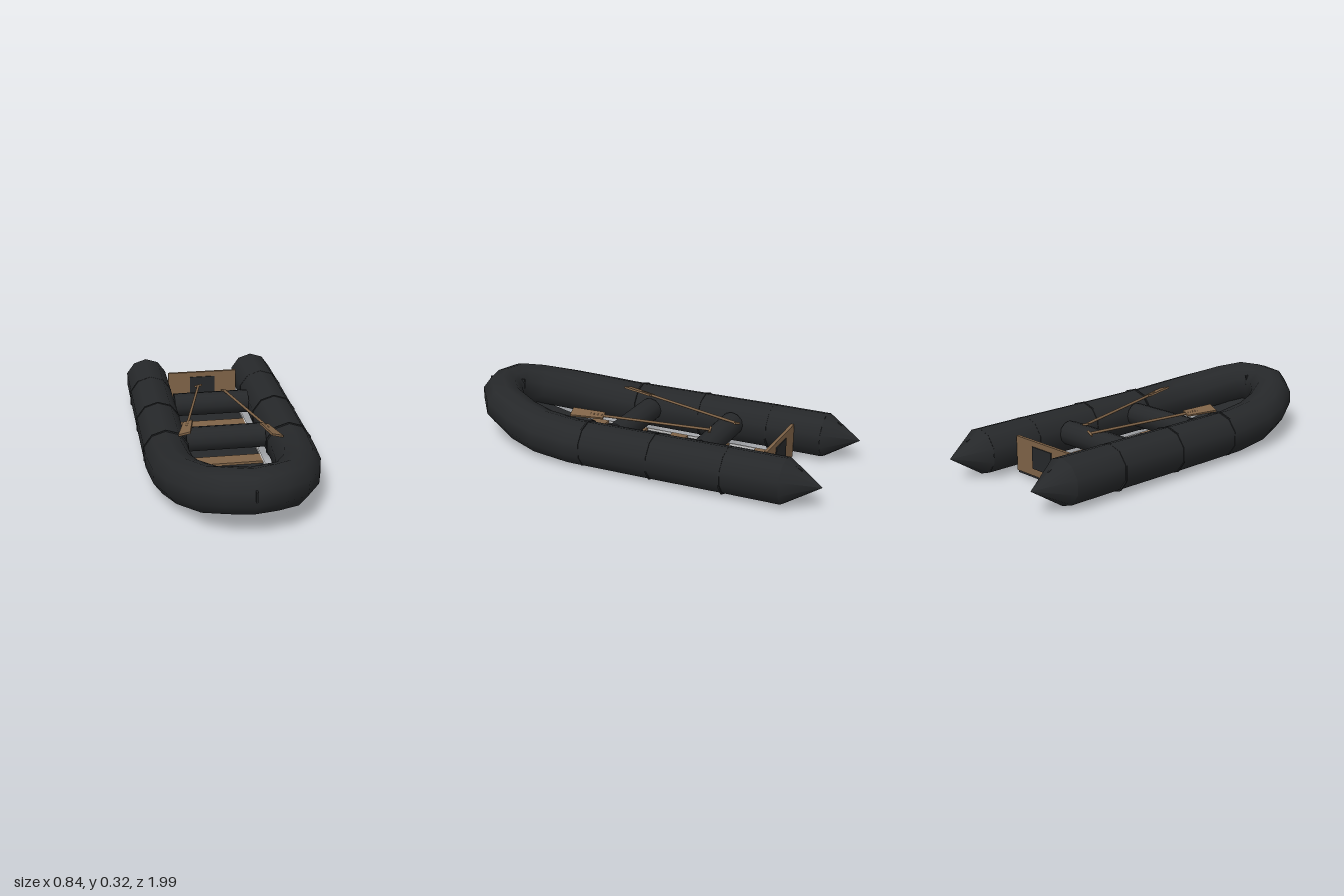
import * as THREE from 'three';

const rubber = new THREE.MeshStandardMaterial({ color: 0x26282a, side: THREE.DoubleSide });
const wood = new THREE.MeshStandardMaterial({ color: 0x7f6347 });
const metal = new THREE.MeshStandardMaterial({ color: 0xcccccc });
const SIDES = 10;

function add(parent, name, geometry, material, x = 0, y = 0, z = 0) {
  const mesh = new THREE.Mesh(geometry, material);
  mesh.name = name;
  mesh.position.set(x, y, z);
  parent.add(mesh);
  return mesh;
}

// Skin rows of points into a smooth surface
function loft(rows) {
  const n = rows[0].length, pos = [], idx = [];
  rows.forEach(row => row.forEach(p => pos.push(p.x, p.y, p.z)));
  for (let i = 0; i < rows.length - 1; i++) {
    for (let j = 0; j < n - 1; j++) {
      const a = i * n + j, b = a + n;
      idx.push(a, b, a + 1, b, b + 1, a + 1);
    }
  }
  const g = new THREE.BufferGeometry();
  g.setAttribute('position', new THREE.Float32BufferAttribute(pos, 3));
  g.setIndex(idx);
  g.computeVertexNormals();
  return g;
}

// U-shaped tube: half path as [x, y, z, radius], mirrored around the bow
function hullGeometry() {
  const half = [
    [0.305, 0.12, -0.82, 0.115], [0.307, 0.12, -0.53, 0.115], [0.308, 0.117, -0.15, 0.115],
    [0.31, 0.115, 0.3, 0.114], [0.295, 0.127, 0.49, 0.114], [0.257, 0.148, 0.63, 0.112],
    [0.18, 0.181, 0.785, 0.11], [0.09, 0.207, 0.86, 0.108], [0, 0.208, 0.882, 0.106]];
  const path = [...half, ...half.slice(0, -1).reverse().map(([x, y, z, r]) => [-x, y, z, r])];
  const pts = path.map(p => new THREE.Vector3(p[0], p[1], p[2]));
  const rows = pts.map((p, i) => {
    const tangent = pts[Math.min(i + 1, pts.length - 1)].clone().sub(pts[Math.max(i - 1, 0)]).normalize();
    const side = new THREE.Vector3(0, 1, 0).cross(tangent).normalize();
    const up = tangent.clone().cross(side);
    return Array.from({ length: SIDES + 1 }, (_, j) => {
      const a = -j / SIDES * Math.PI * 2, r = path[i][3];
      return p.clone().addScaledVector(up, r * Math.cos(a)).addScaledVector(side, r * Math.sin(a));
    });
  });
  const g = loft(rows);
  // Merge the normals along the lengthwise seam
  const nor = g.attributes.normal, n = SIDES + 1;
  for (let i = 0; i < rows.length; i++) {
    const a = new THREE.Vector3().fromBufferAttribute(nor, i * n);
    a.add(new THREE.Vector3().fromBufferAttribute(nor, i * n + SIDES)).normalize();
    nor.setXYZ(i * n, a.x, a.y, a.z);
    nor.setXYZ(i * n + SIDES, a.x, a.y, a.z);
  }
  return g;
}

// Oar built along +z from grip to blade, then aimed between two points
function addOar(parent, name, from, to, roll) {
  const oar = new THREE.Group();
  oar.name = name;
  const length = from.distanceTo(to);
  add(oar, 'shaft', new THREE.CylinderGeometry(0.007, 0.007, length - 0.1, 8).rotateX(Math.PI / 2),
    wood, 0, 0, (length - 0.1) / 2);
  add(oar, 'grip', new THREE.CylinderGeometry(0.006, 0.006, 0.04, 8).rotateZ(Math.PI / 2), wood);
  const blade = new THREE.Shape();
  blade.moveTo(-0.024, -0.17);
  blade.lineTo(0.024, -0.17);
  blade.lineTo(0.031, 0);
  blade.lineTo(-0.031, 0);
  const bladeGeo = new THREE.ExtrudeGeometry(blade, { depth: 0.01, bevelEnabled: false });
  bladeGeo.translate(0, 0, -0.005).rotateX(Math.PI / 2);
  add(oar, 'blade', bladeGeo, wood, 0, 0, length);
  oar.position.copy(from);
  oar.lookAt(to);
  oar.rotateZ(roll);
  parent.add(oar);
}

export function createModel() {
  const boat = new THREE.Group();
  boat.name = 'inflatableBoat';
  add(boat, 'hullTube', hullGeometry(), rubber);

  // Stern cones, their grips, and seam bands
  for (const s of [1, -1]) {
    const label = s > 0 ? 'left' : 'right';
    add(boat, label + 'SternCone', new THREE.ConeGeometry(0.115, 0.178, SIDES).rotateX(-Math.PI / 2),
      rubber, s * 0.305, 0.12, -0.909);
    const grip = add(boat, label + 'ConeGrip', new THREE.BoxGeometry(0.008, 0.018, 0.05),
      rubber, s * 0.305, 0.19, -0.873);
    grip.rotation.x = -0.5;
    for (const z of [-0.53, -0.15, 0.22]) {
      add(boat, label + 'SeamBand', new THREE.CylinderGeometry(0.119, 0.119, 0.008, SIDES).rotateX(Math.PI / 2),
        rubber, s * 0.308, 0.117, z);
    }
    add(boat, label + 'FloorRail', new THREE.BoxGeometry(0.008, 0.012, 1.03), metal, s * 0.183, 0.026, -0.065);
  }

  // Bow grips, outside and inside
  add(boat, 'bowGrip', new THREE.BoxGeometry(0.008, 0.05, 0.025), rubber, 0, 0.228, 0.983);
  add(boat, 'innerBowGrip', new THREE.BoxGeometry(0.008, 0.05, 0.025), rubber, 0, 0.24, 0.79);

  // Flat floor and the floor sheet rising to the bow
  add(boat, 'floor', new THREE.BoxGeometry(0.378, 0.012, 1.23), rubber, 0, 0.014, -0.065);
  const bowRows = [[0.189, 0.02, 0.5], [0.189, 0.035, 0.6], [0.165, 0.075, 0.72], [0.09, 0.125, 0.82], [0.02, 0.145, 0.86]]
    .map(([w, y, z]) => [-w, 0, w].map(x => new THREE.Vector3(x, y, z)));
  add(boat, 'bowFloor', loft(bowRows), rubber);

  // Floor slats
  for (let i = 0; i < 5; i++) {
    add(boat, 'floorSlat', new THREE.BoxGeometry(0.358, 0.012, 0.09), wood, 0, 0.027, -0.535 + i * 0.2362);
  }

  // Inflated seats
  for (const z of [-0.345, 0.122]) {
    add(boat, 'seat', new THREE.CylinderGeometry(0.062, 0.062, 0.4, 12).rotateZ(Math.PI / 2), rubber, 0, 0.135, z);
  }

  // Transom with motor pads on both faces
  add(boat, 'transom', new THREE.BoxGeometry(0.386, 0.175, 0.016), wood, 0, 0.107, -0.677);
  add(boat, 'motorPad', new THREE.BoxGeometry(0.14, 0.11, 0.026), rubber, 0, 0.112, -0.677);

  addOar(boat, 'rightOar', new THREE.Vector3(-0.055, 0.205, -0.43), new THREE.Vector3(-0.222, 0.228, 0.268), 0.3);
  addOar(boat, 'leftOar', new THREE.Vector3(0.075, 0.203, -0.34), new THREE.Vector3(0.222, 0.23, 0.36), -0.3);
  return boat;
}
